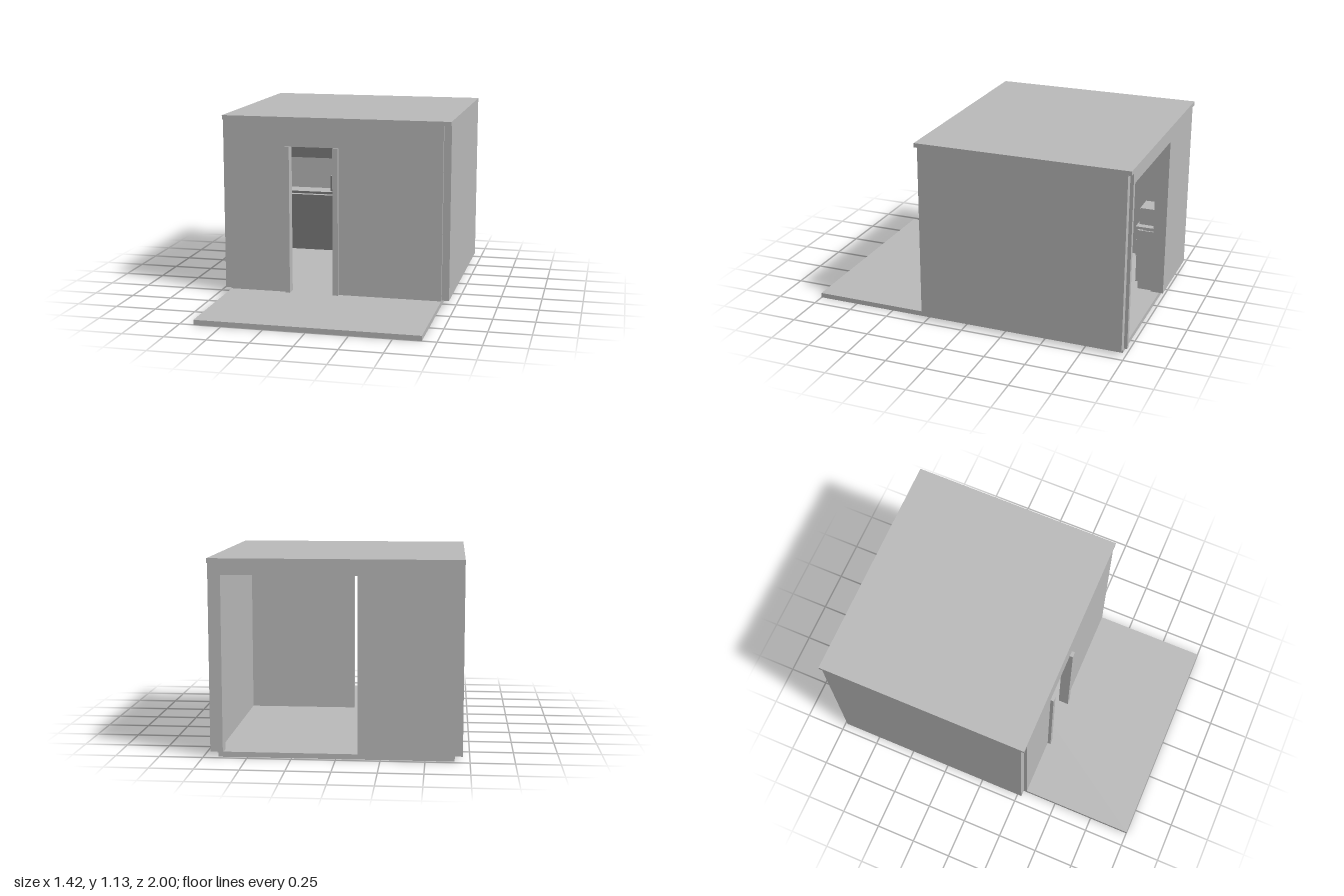
import * as THREE from 'three';

export function createModel() {
  const group = new THREE.Group();
  const grey = new THREE.MeshStandardMaterial({ color: 0xbbbbbb });
  grey.name = 'plaster grey';
  const dark = new THREE.MeshStandardMaterial({ color: 0x7d7d7d });
  dark.name = 'cabinet grey';
  // sides pale, front (+z) face dark
  const darkFront = [grey, grey, grey, grey, dark, grey];

  // box from its minimum and maximum corners
  function box(name, [x0, y0, z0], [x1, y1, z1], material = grey) {
    const mesh = new THREE.Mesh(new THREE.BoxGeometry(x1 - x0, y1 - y0, z1 - z0), material);
    mesh.position.set((x0 + x1) / 2, (y0 + y1) / 2, (z0 + z1) / 2);
    mesh.name = name;
    group.add(mesh);
  }

  const floorY = 0.03, ceilY = 1.1, inner = 0.665, outer = 0.71, thick = 0.045;

  // wall with an opening that reaches the floor
  function openWall(name, left, right, top, z) {
    const points = [
      [-inner, floorY], [left, floorY], [left, top], [right, top],
      [right, floorY], [inner, floorY], [inner, ceilY], [-inner, ceilY],
    ].map(([x, y]) => new THREE.Vector2(x, y));
    const geometry = new THREE.ExtrudeGeometry(new THREE.Shape(points), { depth: thick, bevelEnabled: false });
    const mesh = new THREE.Mesh(geometry, grey);
    mesh.position.z = z;
    mesh.name = name;
    group.add(mesh);
  }

  // shell
  box('floorSlab', [-inner, 0, -0.975], [inner, floorY, 1]);
  box('roofSlab', [-outer, ceilY, -1], [outer, 1.126, 0.3]);
  box('rightWall', [-outer, floorY, -0.98], [-inner, ceilY, 0.28]);
  box('leftWall', [inner, floorY, -0.98], [outer, ceilY, 0.28]);
  openWall('frontWall', -0.28, -0.008, 0.945, 0.3 - thick);
  openWall('backWall', -0.125, 0.635, 1.035, -1);

  // door jambs at the front, standing proud of the wall
  box('frontJamb', [-0.31, floorY, 0.3], [-0.28, 0.945, 0.32]);
  box('frontJamb', [-0.008, floorY, 0.3], [0.026, 0.945, 0.32]);

  // frame inside the wide back opening
  box('backJamb', [-0.15, floorY, -0.955], [-0.125, 1.035, -0.92]);
  box('backJamb', [0.635, floorY, -0.955], [0.66, 1.035, -0.92]);
  box('backHeader', [-0.15, 1.035, -0.955], [0.66, 1.06, -0.92]);

  // ceiling beams at thirds, with thin battens in the bays
  for (const z of [-0.567, -0.133]) box('ceilingBeam', [-inner, 1.072, z - 0.015], [inner, ceilY, z + 0.015]);
  for (const z of [-0.77, -0.35, 0.06]) {
    for (let i = 0; i < 5; i++) {
      const x = -0.5 + i * 0.25;
      box('ceilingBatten', [x - 0.01, 1.094, z - 0.13], [x + 0.01, ceilY, z + 0.13]);
    }
  }

  // kitchenette along the back wall
  const back = -0.955;
  box('toeKick', [-0.65, floorY, back], [-0.142, 0.08, -0.83], darkFront);
  box('baseCabinet', [-0.65, 0.08, back], [-0.135, 0.43, -0.815], darkFront);
  box('worktopSupport', [-0.65, 0.43, back], [-0.145, 0.44, -0.85]);
  box('worktop', [-0.655, 0.44, back], [-0.13, 0.456, -0.805], darkFront);
  box('upperCabinet', [-0.65, 0.69, back], [-0.265, 1.02, -0.85], darkFront);
  box('cabinetHandle', [-0.155, 0.25, -0.815], [-0.148, 0.36, -0.805], darkFront);

  // small appliance with a raised front panel
  box('applianceBody', [-0.30, 0.46, -0.94], [-0.165, 0.568, -0.82], darkFront);
  box('applianceFeet', [-0.29, 0.456, -0.93], [-0.175, 0.46, -0.83], darkFront);
  box('appliancePanel', [-0.272, 0.475, -0.82], [-0.182, 0.555, -0.812], darkFront);

  return group;
}
